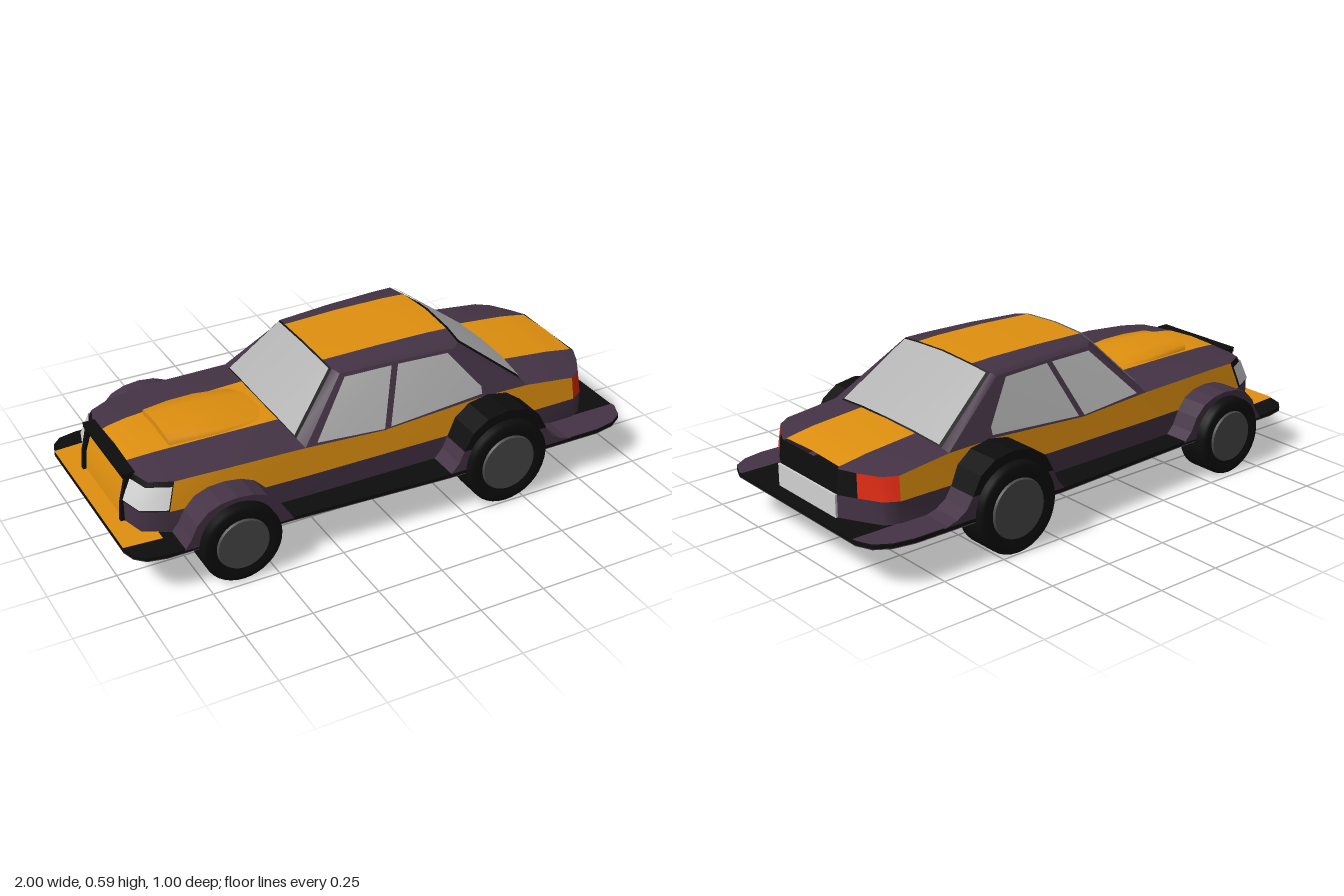
import * as THREE from 'three';

const paint = (name, color) => {
  const m = new THREE.MeshStandardMaterial({ color, side: THREE.DoubleSide });
  m.name = name;
  return m;
};

// Smooth surface through a grid of points; columns run along u, rows along v
function patch(rows) {
  const n = rows[0].length, index = [];
  for (let r = 0; r < rows.length - 1; r++) {
    for (let c = 0; c < n - 1; c++) {
      const a = r * n + c, b = a + n;
      index.push(a, a + 1, b + 1, a, b + 1, b);
    }
  }
  const g = new THREE.BufferGeometry();
  g.setAttribute('position', new THREE.Float32BufferAttribute(rows.flat(2), 3));
  g.setIndex(index);
  g.computeVertexNormals();
  return g;
}

// Copy of a geometry reflected in z, with its winding kept outward
function mirrored(geo) {
  const g = geo.index ? geo.toNonIndexed() : geo.clone();
  g.scale(1, 1, -1);
  for (const key of Object.keys(g.attributes)) {
    const a = g.attributes[key], s = a.itemSize;
    for (let i = 0; i < a.count; i += 3) {
      for (let k = 0; k < s; k++) {
        const p = (i + 1) * s + k, q = (i + 2) * s + k, t = a.array[p];
        a.array[p] = a.array[q];
        a.array[q] = t;
      }
    }
  }
  return g;
}

const shape = pts => new THREE.Shape(pts.map(p => new THREE.Vector2(...p)));
const slab = (s, z0, z1) => new THREE.ExtrudeGeometry(s, { depth: z1 - z0, bevelEnabled: false, curveSegments: 20 }).translate(0, 0, z0);
const fullWidth = half => [...half, ...half.filter(p => p[2] > 0).reverse().map(([x, y, z]) => [x, y, -z])];

export function createModel() {
  const car = new THREE.Group();
  car.name = 'car';
  const purple = paint('purple', 0x443345), orange = paint('orange', 0xe0900f), black = paint('black', 0x0d0d0d);
  const glass = paint('glass grey', 0xb2b2b2), white = paint('lamp white', 0xd2d2d2);
  const red = paint('lamp red', 0xe02a10), grey = paint('hub grey', 0x4a4a4a);

  const add = (name, geo, mat) => {
    const m = new THREE.Mesh(geo, mat);
    m.name = name;
    car.add(m);
  };
  const pair = (name, geo, mat) => {
    add(name + 'Left', geo, mat);
    add(name + 'Right', mirrored(geo), mat);
  };

  // Body stations, nose to tail: lower x, z | belt x, y, z | stripe x, y, z
  const st = [
    [-0.935, 0.19, -0.895, 0.352, 0.185, -0.885, 0.36, 0.115],
    [-0.91, 0.28, -0.87, 0.352, 0.265, -0.86, 0.364, 0.12],
    [-0.82, 0.325, -0.79, 0.354, 0.305, -0.79, 0.371, 0.128],
    [-0.62, 0.34, -0.62, 0.362, 0.325, -0.62, 0.378, 0.14],
    [-0.31, 0.348, -0.31, 0.358, 0.333, -0.31, 0.382, 0.152],
    [0, 0.35, 0, 0.342, 0.337, 0, 0.38, 0.155],
    [0.4, 0.352, 0.4, 0.366, 0.337, 0.4, 0.38, 0.158],
    [0.6, 0.352, 0.6, 0.362, 0.337, 0.6, 0.382, 0.16],
    [0.81, 0.35, 0.805, 0.338, 0.338, 0.81, 0.362, 0.162],
    [0.86, 0.32, 0.855, 0.336, 0.305, 0.86, 0.354, 0.162],
    [0.905, 0.24, 0.9, 0.338, 0.232, 0.895, 0.348, 0.162],
    [0.942, 0.17, 0.93, 0.34, 0.168, 0.92, 0.344, 0.16],
  ];
  const sill = st.map(s => [s[0], 0.165, s[1]]);
  const waist = st.map(s => [s[0], 0.252, s[1]]);
  const belt = st.map(s => s.slice(2, 5));
  const edge = st.map(s => s.slice(5, 8));
  const ridge = edge.map(([x, y]) => [x, y + 0.006, 0]);
  const band = (a, b, lo, hi) => patch([lo.slice(a, b + 1), hi.slice(a, b + 1)]);

  pair('lowerSide', band(0, 11, sill, waist), purple);
  pair('sideStripe', band(2, 8, waist, belt), orange);
  pair('headlightSurround', band(0, 2, waist, belt), black);
  pair('tailLight', band(8, 10, waist, belt), red);
  pair('tailBand', band(10, 11, waist, belt), black);
  pair('upperBody', band(0, 11, belt, edge), purple);
  const flip = ([x, y, z]) => [x, y, -z];
  add('topStripe', patch([edge, ridge, edge.map(flip)]), orange);
  const tail = row => [row[11], flip(row[11])];
  add('tailCentre', patch([tail(sill), tail(waist), tail(belt)]), black);
  add('tailPlate', new THREE.BoxGeometry(0.008, 0.083, 0.35).translate(0.946, 0.213, 0), white);

  // Headlights, laid just outside the nose corners
  const lamp = t => [0, 1, 2].map(i => {
    const p = waist[i].map((v, k) => v + (belt[i][k] - v) * t);
    return [p[0] - 0.006, p[1], p[2] + 0.004];
  });
  pair('headlight', patch([lamp(0.08), lamp(0.85)]), white);

  // Grille with its frame
  add('grille', patch([[[-0.937, 0.165, -0.18], [-0.937, 0.165, 0.18]], [[-0.93, 0.25, -0.18], [-0.93, 0.25, 0.18]],
    [[-0.9, 0.345, -0.18], [-0.9, 0.345, 0.18]]]), orange);
  pair('grilleSide', slab(shape([[-0.95, 0.165], [-0.9, 0.165], [-0.885, 0.355], [-0.918, 0.355], [-0.943, 0.25]]), 0.175, 0.192), black);
  add('grilleTop', new THREE.BoxGeometry(0.045, 0.018, 0.38).translate(-0.908, 0.35, 0), black);

  // Hood scoop
  const scoop = [[-0.73, 0.115, 0.398], [-0.63, 0.128, 0.401], [-0.53, 0.135, 0.398], [-0.43, 0.128, 0.391], [-0.34, 0.118, 0.38]];
  const scoopRow = ([x, w, y]) => fullWidth([[x, 0.365, w + 0.006], [x, y - 0.004, w], [x, y + 0.003, w * 0.55], [x, y + 0.006, 0]]);
  add('hoodScoop', patch(scoop.map(scoopRow).reverse()), orange);
  const mouth = scoopRow(scoop[0]);
  add('scoopFront', patch([mouth.map(p => [p[0], 0.365, p[2]]), mouth]), orange);

  // Cabin sides, pillars and roof
  const sideZ = (x, y) => 0.335 + (0.235 + 0.07 * x - 0.335) * (y - 0.35) / 0.2;
  const shoulder = [-0.12, 0.07, 0.27, 0.33].map(x => [x, 0.55, sideZ(x, 0.55)]);
  pair('cabinSide', patch([belt.slice(4, 8), shoulder]), purple);
  const screenFoot = [[-0.32, 0.37, 0.28], [-0.328, 0.383, 0.15], [-0.332, 0.387, 0]];
  const screenHead = [[-0.14, 0.564, 0.205], [-0.147, 0.574, 0.15], [-0.15, 0.58, 0]];
  const rearFoot = [[0.6, 0.368, 0.295], [0.61, 0.382, 0.16], [0.613, 0.386, 0]];
  const rearHead = [[0.35, 0.563, 0.245], [0.357, 0.574, 0.155], [0.36, 0.582, 0]];
  pair('frontPillar', patch([[screenFoot[0], belt[4]], [screenHead[0], shoulder[0]]]), purple);
  pair('rearPillar', patch([[belt[7], rearFoot[0]], [shoulder[3], rearHead[0]]]), purple);
  const roofEdge = [screenHead[0], [0.07, 0.569, 0.222], [0.27, 0.567, 0.238], rearHead[0]];
  const roofLine = [screenHead[1], [0.07, 0.579, 0.155], [0.27, 0.578, 0.156], rearHead[1]];
  const roofRidge = [screenHead[2], [0.07, 0.587, 0], [0.27, 0.587, 0], rearHead[2]];
  pair('roofSide', patch([shoulder, roofEdge, roofLine]), purple);
  add('roofStripe', patch([roofLine, roofRidge, roofLine.map(flip)]), orange);

  // Front and rear screens over black seals
  const screen = (name, foot, head, dir) => {
    const rows = [foot, head].map(fullWidth);
    if (dir < 0) rows.reverse();
    const rim = patch(rows);
    add(name + 'Seal', rim, black);
    const pane = rim.clone();
    pane.computeBoundingBox();
    const c = pane.boundingBox.getCenter(new THREE.Vector3());
    pane.translate(-c.x, -c.y, -c.z).scale(0.96, 0.96, 0.96).translate(c.x + dir * 0.005, c.y + 0.004, c.z);
    add(name, pane, glass);
  };
  screen('windscreen', screenFoot, screenHead, -1);
  screen('rearWindow', rearFoot, rearHead, 1);

  // Side windows, bent onto the cabin side
  const sideWindow = (name, pts) => {
    const g = new THREE.ShapeGeometry(shape(pts));
    const p = g.attributes.position;
    for (let i = 0; i < p.count; i++) p.setZ(i, sideZ(p.getX(i), p.getY(i)) + 0.007);
    g.computeVertexNormals();
    pair(name, g, glass);
  };
  sideWindow('frontSideWindow', [[-0.265, 0.366], [0, 0.35], [0.075, 0.543], [-0.108, 0.54]]);
  sideWindow('rearSideWindow', [[0.025, 0.352], [0.41, 0.376], [0.41, 0.402], [0.297, 0.542], [0.1, 0.543]]);

  // Floor plate with rounded corners, front lip and rear corners
  const half = [[-1, 0.34], [-0.985, 0.39], [-0.95, 0.425], [-0.88, 0.44], [-0.42, 0.44], [0.2, 0.47], [0.84, 0.47],
    [0.92, 0.455], [0.975, 0.42], [1, 0.36]];
  const outline = [...half, ...half.map(([x, z]) => [x, -z]).reverse()];
  const flat = (pts, y) => new THREE.ShapeGeometry(shape(pts)).rotateX(-Math.PI / 2).translate(0, y, 0);
  add('floorPlate', slab(shape(outline), 0, 0.013).rotateX(-Math.PI / 2).translate(0, 0.157, 0), black);
  add('underside', new THREE.ShapeGeometry(shape(outline)).rotateX(Math.PI / 2).translate(0, 0.154, 0), purple);
  add('frontLip', flat([[-1, -0.34], [-0.86, -0.35], [-0.86, 0.35], [-1, 0.34]], 0.174), orange);
  pair('rearCorner', flat([[0.6, -0.345], [1, -0.345], ...half.slice(6).reverse().map(([x, z]) => [x, -z]), [0.6, -0.47]], 0.174), purple);

  // Wheel arches: outer profile, closed by an arc around the wheel
  const arch = (pts, cx, cy, r, a0, a1) => {
    const s = shape(pts);
    s.absarc(cx, cy, r, a0, a1, a1 < a0);
    return s;
  };
  pair('frontArch', slab(arch([[-0.82, 0.165], [-0.795, 0.2], [-0.77, 0.25], [-0.73, 0.29], [-0.68, 0.31], [-0.62, 0.317],
    [-0.56, 0.31], [-0.51, 0.29], [-0.47, 0.25], [-0.445, 0.2], [-0.41, 0.165]], -0.62, 0.15, 0.148, 0.1, Math.PI - 0.1), 0.3, 0.442), purple);
  pair('rearArch', slab(arch([[0.255, 0.25], [0.29, 0.315], [0.35, 0.356], [0.43, 0.369], [0.51, 0.356], [0.57, 0.315], [0.605, 0.25]],
    0.43, 0.165, 0.168, 0.53, Math.PI - 0.53), 0.32, 0.47), black);
  pair('rearArchFrontFoot', slab(shape([[0.2, 0.165], [0.27, 0.165], [0.285, 0.25], [0.255, 0.25], [0.235, 0.205]]), 0.32, 0.47), purple);
  pair('rearArchBackFoot', slab(shape([[0.59, 0.165], [0.74, 0.165], [0.67, 0.185], [0.63, 0.21], [0.605, 0.25], [0.575, 0.25]]), 0.32, 0.47), purple);

  // Wheels
  for (const [name, x, r, z0, z1, hub] of [['front', -0.62, 0.148, 0.35, 0.48, 0.1], ['rear', 0.43, 0.165, 0.365, 0.5, 0.112]]) {
    const w = (z1 - z0) / 2, zc = (z0 + z1) / 2;
    const profile = [[0, -w], [r - 0.01, -w], [r, 0.01 - w], [r, w - 0.01], [r - 0.01, w], [hub + 0.01, w], [hub, w - 0.008], [0, w - 0.008]];
    const tyre = new THREE.LatheGeometry(profile.map(p => new THREE.Vector2(...p)), 36);
    pair(name + 'Tyre', tyre.rotateX(Math.PI / 2).translate(x, r, zc), black);
    const disc = new THREE.CylinderGeometry(hub - 0.006, hub, 0.012, 36);
    pair(name + 'Hub', disc.rotateX(Math.PI / 2).translate(x, r, z1 - 0.006), grey);
    const back = new THREE.CylinderGeometry(hub, hub, 0.006, 36);
    pair(name + 'HubBack', back.rotateX(Math.PI / 2).translate(x, r, z0 - 0.001), grey);
  }
  return car;
}
